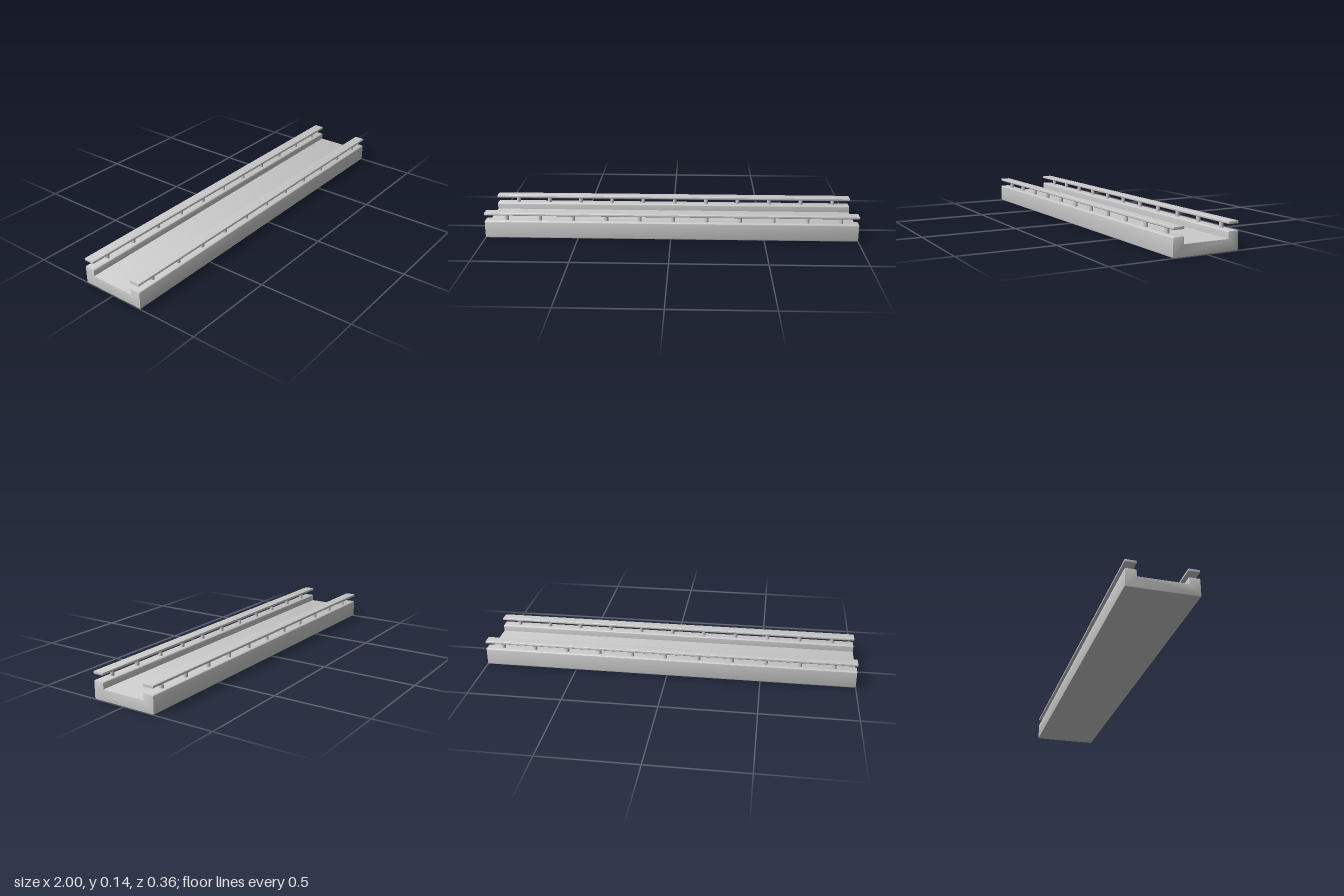
import * as THREE from 'three';
import { toCreasedNormals } from 'three/addons/utils/BufferGeometryUtils.js';

const LENGTH = 2;
const RAIL_Z = 0.15;

// Closed outline from [z, y, radius] corners; a radius of 0 keeps the corner sharp.
function roundedOutline(corners) {
  const shape = new THREE.Shape();
  const n = corners.length;
  corners.forEach(([x, y, r], i) => {
    const towards = ([px, py]) => {
      const d = Math.hypot(px - x, py - y);
      return [x + ((px - x) * r) / d, y + ((py - y) * r) / d];
    };
    const start = towards(corners[(i + n - 1) % n]);
    const end = towards(corners[(i + 1) % n]);
    if (i === 0) shape.moveTo(...start);
    else shape.lineTo(...start);
    if (r > 0) shape.quadraticCurveTo(x, y, ...end);
  });
  shape.closePath();
  return shape;
}

// Runs a cross-section along x, with softened ends.
function extrudeAlongX(shape, bevel) {
  const geometry = new THREE.ExtrudeGeometry(shape, {
    depth: LENGTH - 2 * bevel,
    curveSegments: 3,
    bevelEnabled: true,
    bevelThickness: bevel,
    bevelSize: bevel,
    bevelOffset: -bevel,
    bevelSegments: 2,
  });
  geometry.translate(0, 0, -LENGTH / 2 + bevel);
  geometry.rotateY(Math.PI / 2);
  return toCreasedNormals(geometry, 0.6);
}

export function createModel() {
  const model = new THREE.Group();
  model.name = 'railedWalkway';
  const material = new THREE.MeshStandardMaterial({ color: 0xcccccc });

  const add = (name, geometry, parent = model) => {
    const mesh = new THREE.Mesh(geometry, material);
    mesh.name = name;
    parent.add(mesh);
    return mesh;
  };

  // Deck with a raised curb along each long side
  const r = 0.007;
  add('deck', extrudeAlongX(roundedOutline([
    [-0.179, 0, r], [0.179, 0, r], [0.179, 0.095, r], [0.121, 0.095, r],
    [0.121, 0.06, 0], [-0.121, 0.06, 0], [-0.121, 0.095, r], [-0.179, 0.095, r],
  ]), 0.004));

  // Flat handrails carried on short posts
  const c = 0.005;
  const railGeometry = extrudeAlongX(roundedOutline([
    [-0.029, 0.126, c], [0.029, 0.126, c], [0.029, 0.14, c], [-0.029, 0.14, c],
  ]), 0.002);
  const postGeometry = new THREE.CylinderGeometry(0.0105, 0.0105, 0.036, 16);

  for (const [side, name] of [[1, 'front'], [-1, 'back']]) {
    const railing = new THREE.Group();
    railing.name = name + 'Railing';
    railing.position.z = side * RAIL_Z;
    model.add(railing);
    add(name + 'Handrail', railGeometry, railing);
    for (let i = 0; i < 11; i++) {
      add(name + 'Post' + (i + 1), postGeometry, railing)
        .position.set(-0.883 + i * 0.179, 0.111, 0);
    }
  }
  return model;
}
